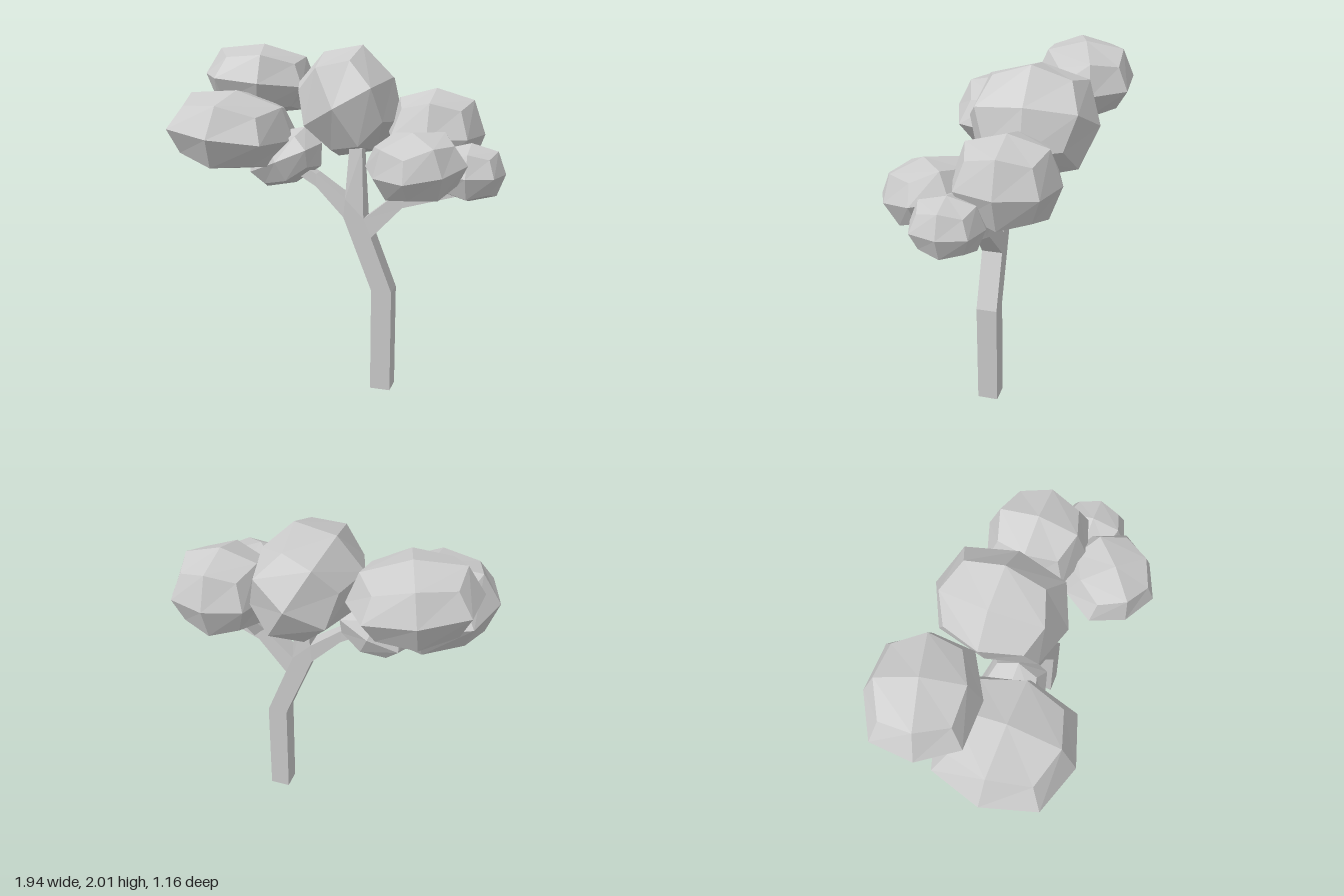
import * as THREE from 'three';

const material = new THREE.MeshStandardMaterial({ color: 0xcccccc, flatShading: true });

// Square limb lofted through sections [leftX, leftY, rightX, rightY, centreZ, halfDepth]
function limb(name, sections) {
  const rings = sections.map(([lx, ly, rx, ry, z, h]) => [
    [lx, ly, z + h], [rx, ry, z + h], [rx, ry, z - h], [lx, ly, z - h],
  ]);
  const pos = [];
  const quad = (a, b, c, d) => pos.push(...a, ...b, ...c, ...a, ...c, ...d);
  for (let s = 0; s < rings.length - 1; s++) {
    for (let i = 0; i < 4; i++) {
      const j = (i + 1) % 4;
      quad(rings[s][i], rings[s][j], rings[s + 1][j], rings[s + 1][i]);
    }
  }
  quad(...[...rings[0]].reverse());
  quad(...rings[rings.length - 1]);
  const geo = new THREE.BufferGeometry();
  geo.setAttribute('position', new THREE.Float32BufferAttribute(pos, 3));
  geo.computeVertexNormals();
  const mesh = new THREE.Mesh(geo, material);
  mesh.name = name;
  return mesh;
}

// Rounded low-poly cube: edge midpoints and corners pulled inwards
function clumpGeometry() {
  const geo = new THREE.BoxGeometry(2, 2, 2, 2, 2, 2);
  const p = geo.attributes.position;
  const pull = [1, 1, 0.76, 0.59];
  for (let i = 0; i < p.count; i++) {
    const v = new THREE.Vector3().fromBufferAttribute(p, i);
    const n = [v.x, v.y, v.z].filter((c) => Math.abs(c) > 0.5).length;
    v.multiplyScalar(pull[n]);
    p.setXYZ(i, v.x, v.y, v.z);
  }
  geo.computeVertexNormals();
  return geo;
}

export function createModel() {
  const tree = new THREE.Group();
  tree.name = 'tree';

  // Trunk, bending at mid height and running on into the middle branch
  tree.add(limb('trunk', [
    [0.23, 0, 0.35, 0, 0.06, 0.06],
    [0.23, 0.62, 0.35, 0.62, 0.06, 0.06],
    [0.06, 1.05, 0.225, 0.94, 0.06, 0.06],
    [0.07, 1.16, 0.18, 1.05, 0.06, 0.06],
    [0.085, 1.45, 0.16, 1.45, 0.05, 0.035],
  ]));

  // Side branches
  tree.add(limb('rightBranch', [
    [0.06, 1.05, 0.07, 1.16, 0.06, 0.06],
    [-0.11, 1.215, -0.11, 1.29, 0.06, 0.04],
    [-0.26, 1.3, -0.24, 1.36, 0.06, 0.03],
  ]));
  tree.add(limb('leftBranch', [
    [0.18, 1.05, 0.225, 0.94, 0.06, 0.06],
    [0.38, 1.215, 0.4, 1.125, 0.06, 0.04],
    [0.68, 1.27, 0.7, 1.215, 0.09, 0.025],
  ]));
  tree.add(limb('leftTwig', [
    [0.35, 1.19, 0.43, 1.14, 0.06, 0.035],
    [0.48, 1.36, 0.54, 1.33, -0.03, 0.025],
  ]));

  // Foliage clumps: name, centre, half sizes, rotation
  const geo = clumpGeometry();
  const clumps = [
    ['crownFoliage', [0.03, 1.685, -0.13], [0.295, 0.325, 0.37], [0, 0, 0.52]],
    ['rightFrontFoliage', [-0.6, 1.53, 0.14], [0.37, 0.23, 0.38], [0, 0, -0.12]],
    ['rightBackFoliage', [-0.59, 1.78, -0.29], [0.345, 0.215, 0.295], [0, 0.28, -0.1]],
    ['rightLowFoliage', [-0.31, 1.37, 0.05], [0.24, 0.16, 0.19], [0, 0, 0.4]],
    ['leftBackFoliage', [0.54, 1.53, -0.12], [0.28, 0.25, 0.29], [0, 0, 0]],
    ['leftFrontFoliage', [0.515, 1.415, 0.31], [0.26, 0.185, 0.26], [0.1, 0.75, 0.1]],
    ['leftOuterFoliage', [0.78, 1.36, 0.12], [0.19, 0.16, 0.2], [0, 0, 0]],
  ];
  for (const [name, centre, half, rotation] of clumps) {
    const mesh = new THREE.Mesh(geo, material);
    mesh.name = name;
    mesh.position.set(...centre);
    mesh.scale.set(...half);
    mesh.rotation.set(...rotation);
    tree.add(mesh);
  }
  return tree;
}
